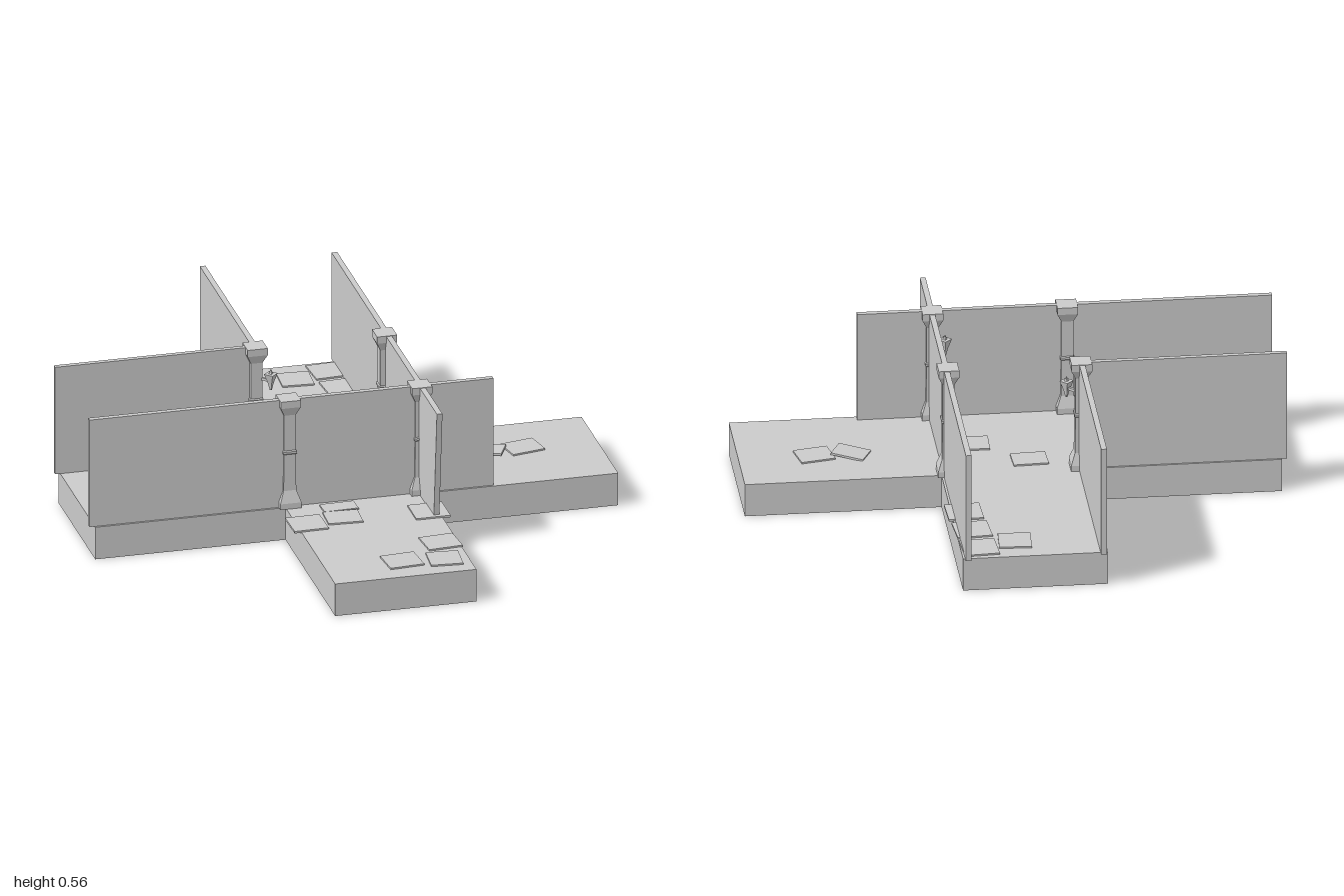
import * as THREE from 'three';

const FLOOR = 0.128, TOP = 0.555;
const mat = new THREE.MeshStandardMaterial({ color: 0xcccccc, flatShading: true });

export function createModel() {
  const model = new THREE.Group();
  const add = (name, geo, x = 0, y = 0, z = 0, parent = model) => {
    const mesh = new THREE.Mesh(geo, mat);
    mesh.name = name;
    mesh.position.set(x, y, z);
    parent.add(mesh);
    return mesh;
  };
  const extrude = (points, depth) => new THREE.ExtrudeGeometry(
    new THREE.Shape(points.map(([a, b]) => new THREE.Vector2(a, b))),
    { depth, bevelEnabled: false });

  // Cross-shaped floor slab, drawn as x,z and laid flat
  const floor = extrude([
    [-0.26, -0.98], [0.275, -0.98], [0.275, -0.26], [1, -0.26], [1, 0.275], [0.275, 0.275],
    [0.275, 1], [-0.26, 1], [-0.26, 0.275], [-0.98, 0.275], [-0.98, -0.26], [-0.26, -0.26],
  ], FLOOR);
  floor.rotateX(Math.PI / 2);
  add('floor', floor, 0, FLOOR, 0);

  // Thin walls: two running along x, two along z
  const wall = (name, x0, x1, z0, z1) => add(name,
    new THREE.BoxGeometry(x1 - x0, TOP - FLOOR, z1 - z0),
    (x0 + x1) / 2, (TOP + FLOOR) / 2, (z0 + z1) / 2);
  wall('backRightWall', -1, -0.24, -0.253, -0.234);
  wall('frontWall', -1, 0.53, 0.246, 0.267);
  wall('backInnerWall', -0.253, -0.232, -1, -0.24);

  // Long side wall with a slanted front end, drawn as z,y
  const side = extrude([[-1, FLOOR], [0.49, FLOOR], [0.535, TOP], [-1, TOP]], 0.021);
  side.rotateY(-Math.PI / 2);
  add('sideWall', side, 0.267, 0, 0);

  // Square pillars: half width and height up the profile
  const profile = [
    [0, 0.128], [0.04, 0.128], [0.04, 0.15], [0.024, 0.195], [0.022, 0.338], [0.026, 0.342],
    [0.026, 0.35], [0.022, 0.354], [0.022, 0.495], [0.038, 0.53], [0.038, 0.557], [0, 0.557],
  ].map(([w, y]) => new THREE.Vector2(w * Math.SQRT2, y));
  const pillar = new THREE.LatheGeometry(profile, 4);
  pillar.rotateY(Math.PI / 4);
  for (const [x, z] of [[-0.241, -0.24], [0.249, -0.24], [-0.243, 0.252], [0.254, 0.252]])
    add('pillar', pillar, x, 0, z);

  // Diamond-shaped wall lamps on two opposite pillars
  for (const [x, z, s] of [[-0.193, -0.196, 1], [0.211, 0.206, -1]]) {
    const lamp = new THREE.Group();
    lamp.name = 'wallLamp';
    lamp.position.set(x, 0.43, z);
    add('lampCup', new THREE.CylinderGeometry(0.026, 0.012, 0.035, 4), 0, 0.01, 0, lamp);
    add('lampTip', new THREE.CylinderGeometry(0.012, 0.004, 0.03, 4), 0, -0.022, 0, lamp);
    add('lampFlame', new THREE.ConeGeometry(0.009, 0.02, 4), 0, 0.037, 0, lamp);
    const arm = add('lampBracket', new THREE.BoxGeometry(0.01, 0.01, 0.05), -s * 0.014, 0, -s * 0.014, lamp);
    arm.rotation.y = Math.PI / 4;
    model.add(lamp);
  }

  // Loose paving tiles: x, z, width, depth, turn, tilt
  const tiles = [
    [-0.222, 0.443, 0.13, 0.13, 0.02], [-0.08, 0.42, 0.13, 0.11, -0.05], [-0.07, 0.325, 0.13, 0.07, 0.03],
    [0.03, 0.86, 0.13, 0.12, 0.08], [0.185, 0.88, 0.12, 0.12, -0.08], [0.21, 0.73, 0.13, 0.12, 0.08],
    [0.24, 0.443, 0.13, 0.13, 0], [0.135, -0.005, 0.125, 0.11, -0.03], [-0.06, -0.16, 0.13, 0.1, 0.04],
    [0.228, -0.585, 0.13, 0.13, 0.03], [0.215, -0.74, 0.13, 0.13, 0.07], [0.205, -0.895, 0.13, 0.13, 0.06],
    [0.07, -0.85, 0.12, 0.12, -0.06], [-0.7, 0.19, 0.12, 0.1, 0.1],
    [0.585, -0.04, 0.125, 0.09, -0.45, 0.07], [0.72, -0.04, 0.13, 0.11, 0.2],
  ];
  for (const [x, z, w, d, turn, tilt = 0] of tiles) {
    const tile = add('floorTile', new THREE.BoxGeometry(w, 0.008, d), x, FLOOR + 0.002 + tilt * 0.06, z);
    tile.rotation.set(0, turn, tilt);
  }
  return model;
}
